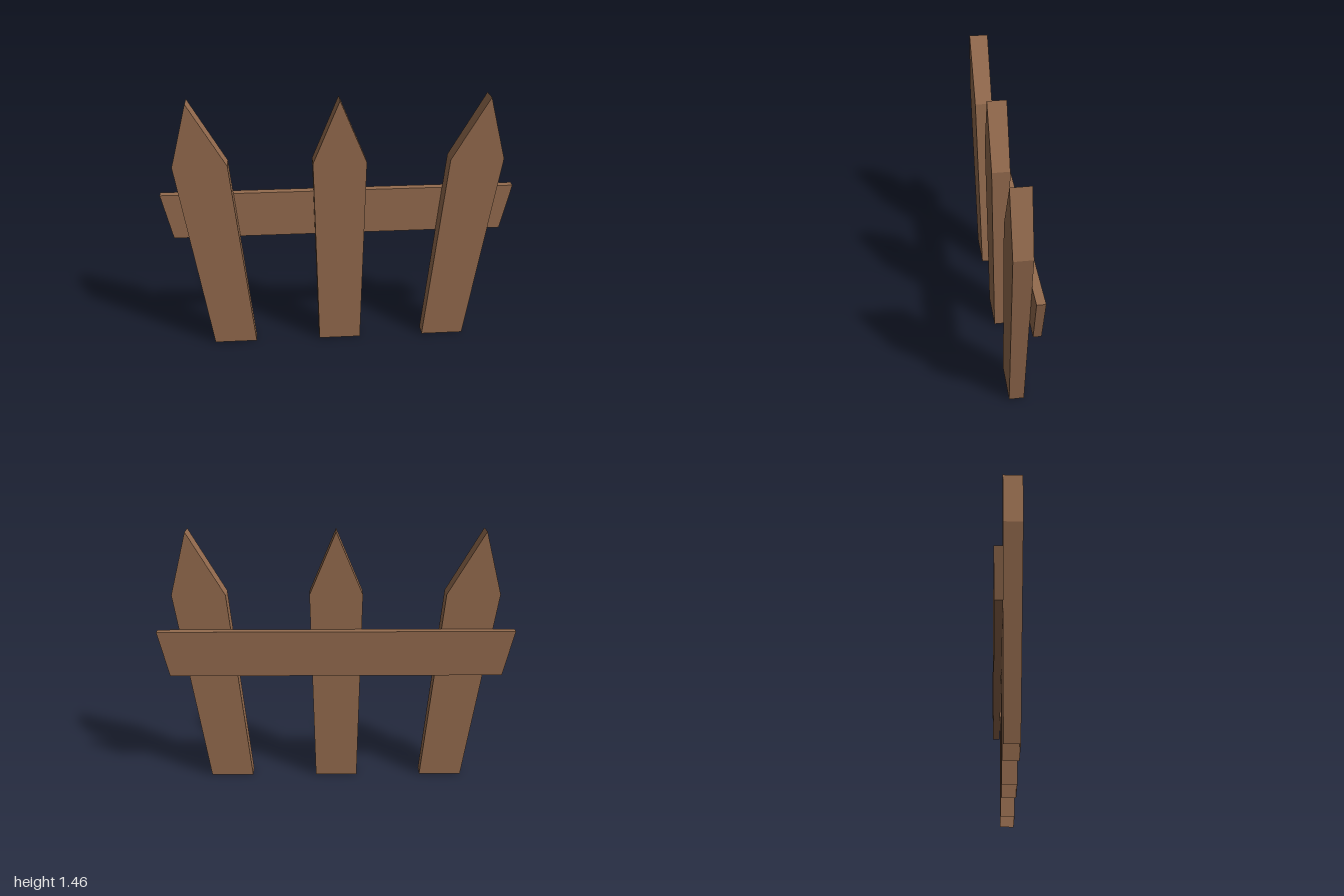
import * as THREE from 'three';

const wood = new THREE.MeshStandardMaterial({ color: 0x946b4e, side: THREE.DoubleSide });
wood.name = 'brown wood';

// Extrudes an outline into a board whose front and back z depend on height.
function board(name, outline, frontZ, backZ, openBottom) {
  const shape = new THREE.Shape(outline.map(([x, y]) => new THREE.Vector2(x, y)));
  const extruded = new THREE.ExtrudeGeometry(shape, { depth: 1, bevelEnabled: false });
  const p = extruded.attributes.position;
  const kept = [];
  for (let i = 0; i < p.count; i += 3) {
    const corners = [i, i + 1, i + 2];
    // Pickets have no face on the ground
    if (openBottom && corners.every((k) => Math.abs(p.getY(k)) < 1e-6)) continue;
    for (const k of corners) {
      const y = p.getY(k);
      kept.push(p.getX(k), y, p.getZ(k) > 0.5 ? frontZ(y) : backZ(y));
    }
  }
  const geometry = new THREE.BufferGeometry();
  geometry.setAttribute('position', new THREE.Float32BufferAttribute(kept, 3));
  geometry.computeVertexNormals();
  const mesh = new THREE.Mesh(geometry, wood);
  mesh.name = name;
  return mesh;
}

export function createModel() {
  const fence = new THREE.Group();
  fence.name = 'picketFence';

  // Pickets widen and thicken towards the pointed top
  const front = (y) => 0.057 + 0.013 * y;
  const back = (y) => -0.025 - 0.004 * y;
  const middle = [[-0.12, 0], [0.12, 0], [0.148, 1.107], [0, 1.46], [-0.148, 1.107]];
  const leaning = [[0.493, 0], [0.735, 0], [0.911, 1.107], [0.818, 1.46], [0.612, 1.107]];
  const mirrored = leaning.map(([x, y]) => [-x, y]).reverse();
  fence.add(board('middlePicket', middle, front, back, true));
  fence.add(board('leftPicket', leaning, front, back, true));
  fence.add(board('rightPicket', mirrored, front, back, true));

  // Cross rail behind the pickets, longer along its top edge
  const rail = [[-0.938, 0.645], [0.938, 0.645], [1, 0.907], [-1, 0.907]];
  fence.add(board('rail', rail, (y) => back(y) - 0.001, (y) => -0.071 - 0.02 * (y - 0.645), false));
  return fence;
}
